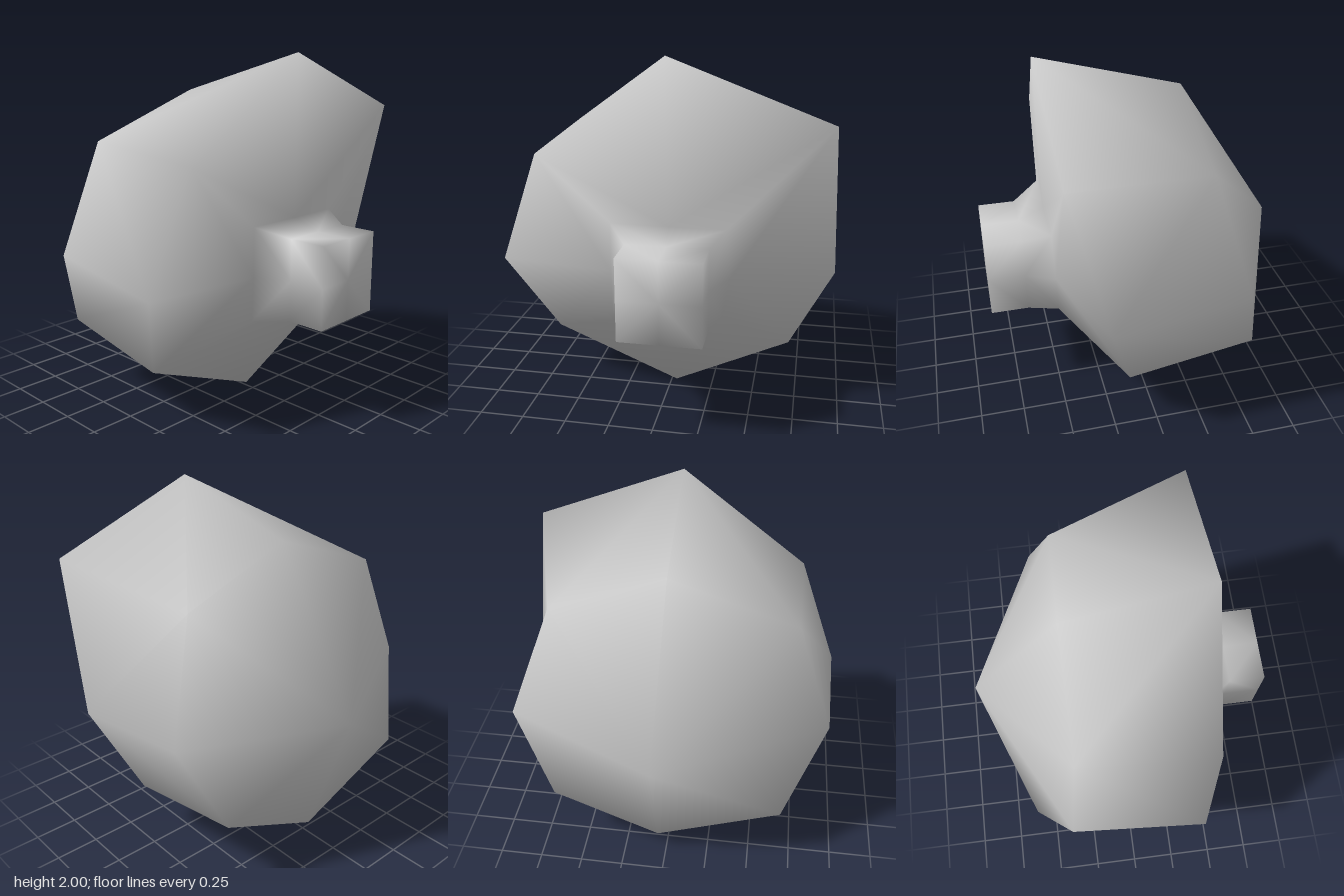
import * as THREE from 'three';

export function createModel() {
  const group = new THREE.Group();
  const grey = new THREE.MeshStandardMaterial({ color: 0xc8c8c8 });
  grey.name = 'grey';

  const points = [];
  const index = [];
  const addRing = (ring) => ring.map((p) => points.push(...p) / 3 - 1);

  // Square stub cross-section with edge midpoints, clockwise from the top middle
  const square = (z) => addRing([
    [0.065, 1.04, z], [0.29, 1.04, z], [0.29, 0.81, z], [0.29, 0.58, z],
    [0.065, 0.58, z], [-0.16, 0.58, z], [-0.16, 0.81, z], [-0.16, 1.04, z],
  ]);

  // Skin between two eight-point rings, nearer one first;
  // diagonals fan out from the even points of the nearer ring
  const band = (a, b) => a.forEach((_, i) => {
    const j = (i + 1) % 8;
    if (i % 2) index.push(a[i], a[j], b[i], a[j], b[j], b[i]);
    else index.push(a[i], a[j], b[j], a[i], b[j], b[i]);
  });

  // Stub: end, neck and flared base
  const end = square(0.87);
  const neck = square(0.66);
  const base = addRing([
    [0.05, 1.1, 0.51], [0.36, 1.1, 0.51], [0.38, 0.82, 0.5], [0.34, 0.58, 0.49],
    [0.04, 0.57, 0.49], [-0.28, 0.57, 0.49], [-0.28, 0.82, 0.5], [-0.28, 1.1, 0.5],
  ]);

  // Rim and back rings of the body, clockwise from the top
  const front = addRing([
    [0.035, 2, 0.52], [0.905, 1.67, 0.51], [0.94, 0.82, 0.3], [0.7, 0.3, 0.15],
    [0.03, 0, 0.17], [-0.71, 0.3, 0.16], [-0.94, 0.82, 0.41], [-0.7, 1.46, 0.47],
  ]);
  const back = addRing([
    [0.02, 1.77, -0.3], [0.67, 1.53, -0.3], [0.9, 0.9, -0.46], [0.67, 0.4, -0.59],
    [0.05, 0.12, -0.59], [-0.67, 0.4, -0.59], [-0.9, 0.9, -0.36], [-0.68, 1.52, -0.3],
  ]);
  const [stubCentre, tip] = addRing([[0.065, 0.81, 0.87], [0.04, 0.9, -0.86]]);

  // Stub sides, front face and body sides
  band(end, neck);
  band(neck, base);
  band(base, front);
  band(front, back);

  // Stub end face and back cap
  for (let i = 0; i < 8; i++) {
    const j = (i + 1) % 8;
    index.push(stubCentre, end[j], end[i], tip, back[i], back[j]);
  }

  const geometry = new THREE.BufferGeometry();
  geometry.setAttribute('position', new THREE.Float32BufferAttribute(points, 3));
  geometry.setIndex(index);
  geometry.computeVertexNormals();

  const body = new THREE.Mesh(geometry, grey);
  body.name = 'bodyWithStub';
  group.add(body);
  return group;
}
